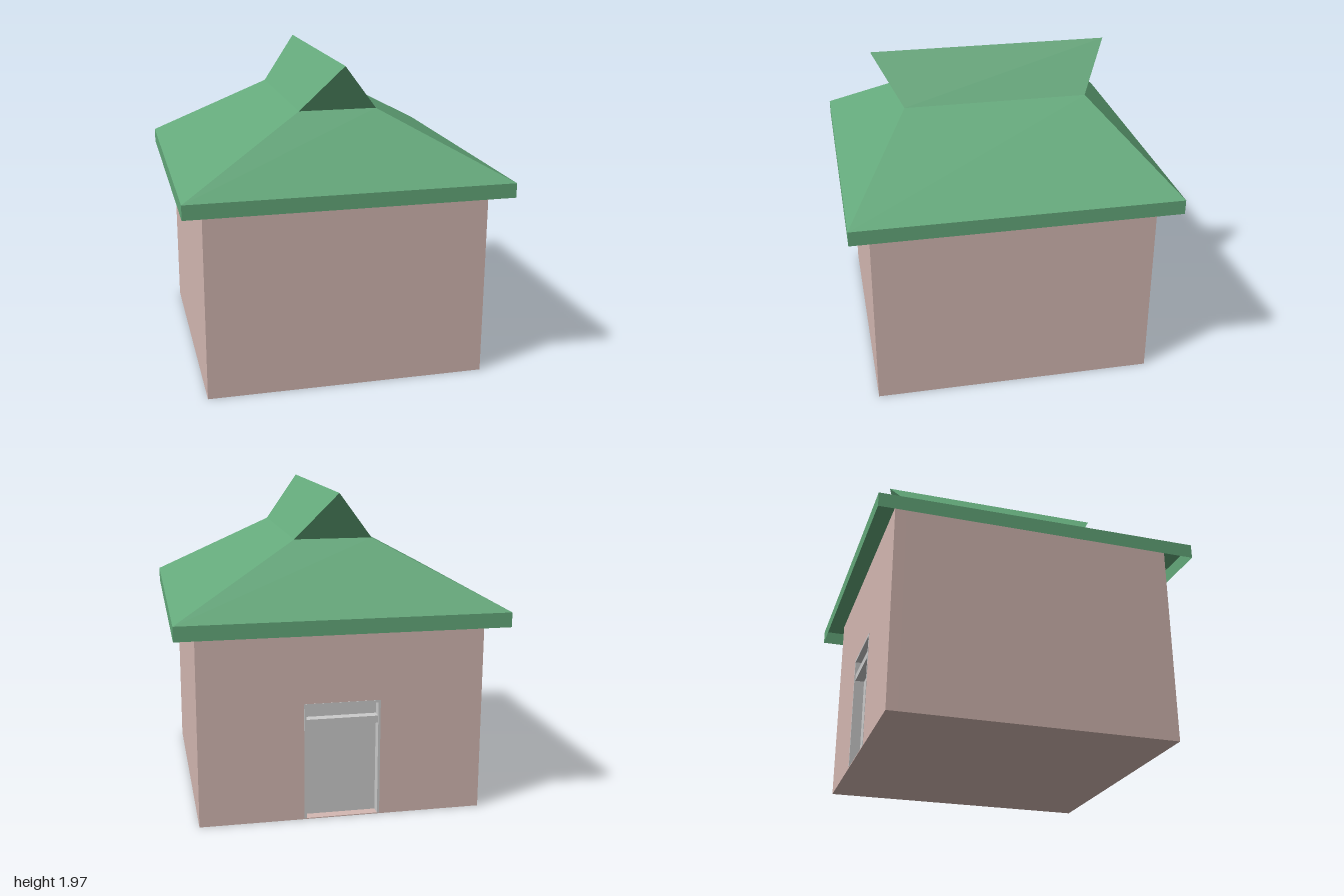
import * as THREE from 'three';

const wallMat = new THREE.MeshStandardMaterial({ color: 0xd4b8b2 });
const roofMat = new THREE.MeshStandardMaterial({ color: 0x64a97b, side: THREE.DoubleSide, flatShading: true });
const greyMat = new THREE.MeshStandardMaterial({ color: 0xcccccc });

const HALF = 0.875, RECESS = 0.07;          // wall half width, doorway depth
const DOOR_W = 0.47, DOOR_H = 0.735;        // doorway opening
const EAVE_Y = 1.27, EAVE_BOTTOM = 1.18, WALL_TOP = 1.27;

function box(name, mat, [x0, x1], [y0, y1], [z0, z1]) {
  const mesh = new THREE.Mesh(new THREE.BoxGeometry(x1 - x0, y1 - y0, z1 - z0), mat);
  mesh.position.set((x0 + x1) / 2, (y0 + y1) / 2, (z0 + z1) / 2);
  mesh.name = name;
  return mesh;
}

// Flat polygons (convex, counter-clockwise from outside) as one geometry
function polygons(faces) {
  const pos = [];
  for (const f of faces)
    for (let i = 1; i < f.length - 1; i++) pos.push(...f[0], ...f[i], ...f[i + 1]);
  const geo = new THREE.BufferGeometry();
  geo.setAttribute('position', new THREE.Float32BufferAttribute(pos, 3));
  geo.computeVertexNormals();
  return geo;
}

function buildWalls() {
  const walls = new THREE.Group();
  walls.name = 'walls';
  walls.add(box('wallBody', wallMat, [-HALF, HALF], [0, WALL_TOP], [-HALF + RECESS, HALF]));

  // Back wall layer with the doorway notched out
  const w = DOOR_W / 2;
  const outline = new THREE.Shape([
    [-HALF, 0], [-w, 0], [-w, DOOR_H], [w, DOOR_H], [w, 0], [HALF, 0], [HALF, WALL_TOP], [-HALF, WALL_TOP],
  ].map(([x, y]) => new THREE.Vector2(x, y)));
  const back = new THREE.Mesh(new THREE.ExtrudeGeometry(outline, { depth: RECESS, bevelEnabled: false }), wallMat);
  back.position.z = -HALF;
  back.name = 'backWall';
  walls.add(back, box('threshold', wallMat, [-w, w], [0, 0.006], [-HALF, -HALF + RECESS]));
  return walls;
}

function buildDoor() {
  const door = new THREE.Group();
  door.name = 'door';
  const w = DOOR_W / 2, t = 0.014, inner = -HALF + RECESS, z = [-HALF - 0.002, inner];
  for (const s of [-1, 1]) {
    const edges = [s * w, s * (w - t)].sort((a, b) => a - b);
    door.add(box('doorJamb', greyMat, edges, [0.006, DOOR_H], z));
  }
  door.add(
    box('doorLintel', greyMat, [-w + t, w - t], [DOOR_H - t, DOOR_H], z),
    box('transomBar', greyMat, [-w + t, w - t], [0.59, 0.635], [-HALF + 0.004, inner]),
    box('doorPanel', greyMat, [-w + t, w - t], [0.006, 0.59], [inner - 0.008, inner]),
    box('transomPanel', greyMat, [-w + t, w - t], [0.635, DOOR_H - t], [inner - 0.008, inner]),
  );
  return door;
}

function buildRoof() {
  const roof = new THREE.Group();
  roof.name = 'roof';
  const eave = (x, z, y = EAVE_Y) => [x, y, z];
  const hip = (x, z) => [x * 0.24, 1.68, z * 0.575];
  const ridge = (z) => [0, 1.97, z * 0.75];

  // Each pair of faces is repeated by half a turn about the vertical axis
  const parts = { hipSlope: [], upperRoof: [], fascia: [] };
  for (const s of [1, -1]) {
    parts.hipSlope.push(
      [eave(-s, s), eave(s, s), hip(s, s), hip(-s, s)],
      [eave(s, s), eave(s, -s), hip(s, -s), hip(s, s)]);
    parts.upperRoof.push(
      [hip(-s, s), hip(s, s), ridge(s)],
      [hip(s, s), hip(s, -s), ridge(-s), ridge(s)]);
    parts.fascia.push(
      [eave(-s, s, EAVE_BOTTOM), eave(s, s, EAVE_BOTTOM), eave(s, s), eave(-s, s)],
      [eave(s, s, EAVE_BOTTOM), eave(s, -s, EAVE_BOTTOM), eave(s, -s), eave(s, s)]);
  }
  // Flat underside set up inside the fascia
  parts.soffit = [[eave(-1, -1), eave(1, -1), eave(1, 1), eave(-1, 1)]];

  for (const [name, faces] of Object.entries(parts)) {
    const mesh = new THREE.Mesh(polygons(faces), roofMat);
    mesh.name = name;
    roof.add(mesh);
  }
  return roof;
}

export function createModel() {
  const house = new THREE.Group();
  house.name = 'house';
  house.add(buildWalls(), buildDoor(), buildRoof());
  return house;
}
